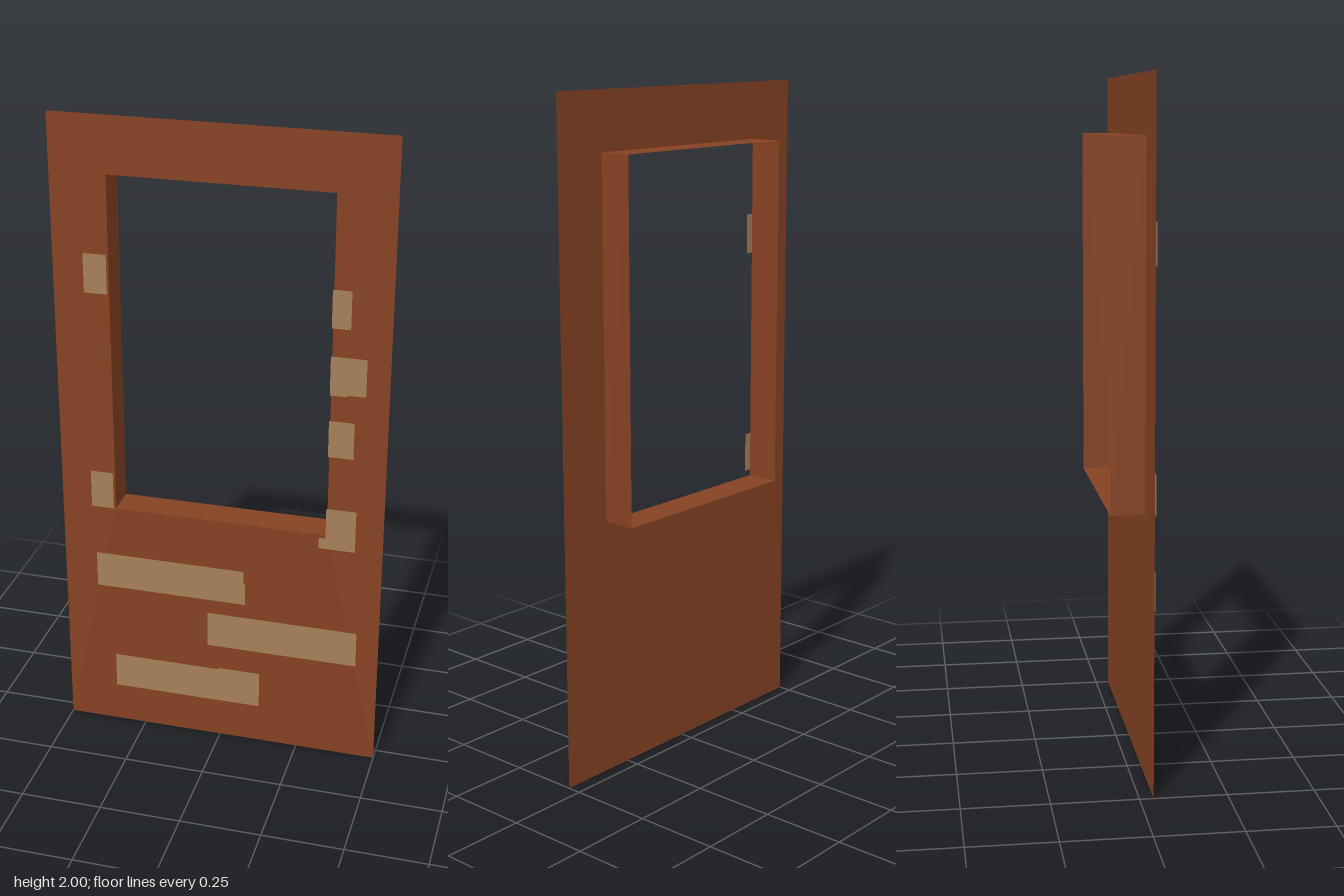
import * as THREE from 'three';

const PANEL_Z = 0.04, REVEAL_BACK = -0.06, PATCH_Z = 0.06;
const WIN = { x: 0.33, bottom: 0.775, top: 1.83 };

const wood = new THREE.MeshStandardMaterial({ color: 0x864223, side: THREE.DoubleSide });
wood.name = 'brown wood';
const worn = new THREE.MeshStandardMaterial({ color: 0xa67e5b, side: THREE.DoubleSide });
worn.name = 'worn tan wood';

const polygon = (points) => new THREE.Shape(points.map(([x, y]) => new THREE.Vector2(x, y)));
const rect = (x0, y0, x1, y1) => [[x0, y0], [x1, y0], [x1, y1], [x0, y1]];

function addMesh(parent, name, geometry, material) {
  const mesh = new THREE.Mesh(geometry, material);
  mesh.name = name;
  parent.add(mesh);
  return mesh;
}

export function createModel() {
  const door = new THREE.Group();
  door.name = 'door';

  // Thin door leaf with a window opening
  const leaf = polygon(rect(-0.5, 0, 0.5, 2));
  leaf.holes.push(polygon(rect(-WIN.x, WIN.bottom, WIN.x, WIN.top)));
  addMesh(door, 'doorPanel', new THREE.ShapeGeometry(leaf), wood).position.z = PANEL_Z;

  // Four thin boards lining the opening and projecting behind the leaf
  const reveal = new THREE.Group();
  reveal.name = 'windowReveal';
  door.add(reveal);
  const depth = PANEL_Z - REVEAL_BACK, midZ = (PANEL_Z + REVEAL_BACK) / 2;
  const height = WIN.top - WIN.bottom, midY = (WIN.top + WIN.bottom) / 2;
  for (const side of [-1, 1]) {
    const jamb = addMesh(reveal, side > 0 ? 'leftJamb' : 'rightJamb',
      new THREE.PlaneGeometry(depth, height), wood);
    jamb.rotation.y = side * Math.PI / 2;
    jamb.position.set(side * WIN.x, midY, midZ);

    const rail = addMesh(reveal, side > 0 ? 'windowHead' : 'windowSill',
      new THREE.PlaneGeometry(WIN.x * 2, depth), wood);
    rail.rotation.x = -side * Math.PI / 2;
    rail.position.set(0, side > 0 ? WIN.top : WIN.bottom, midZ);
  }

  // Worn patches standing just in front of the leaf
  const patches = [
    rect(-0.4, 1.48, -0.33, 1.6),
    rect(-0.4, 0.785, -0.33, 0.905),
    rect(0.33, 1.445, 0.385, 1.56),
    [[0.33, 1.24], [0.38, 1.24], [0.38, 1.245], [0.435, 1.245], [0.435, 1.36], [0.33, 1.36]],
    rect(0.33, 1.045, 0.405, 1.16),
    [[0.31, 0.74], [0.42, 0.74], [0.42, 0.875], [0.33, 0.875], [0.33, 0.775], [0.31, 0.775]],
    [[-0.39, 0.507], [0.085, 0.507], [0.085, 0.58], [0.08, 0.58], [0.08, 0.623], [-0.39, 0.623]],
    rect(-0.035, 0.343, 0.435, 0.46),
    [[-0.338, 0.142], [0.132, 0.142], [0.132, 0.263], [0, 0.263], [0, 0.258], [-0.338, 0.258]],
  ];
  patches.forEach((points, i) => {
    const patch = addMesh(door, `wornPatch${i + 1}`, new THREE.ShapeGeometry(polygon(points)), worn);
    patch.position.z = PATCH_Z;
  });

  return door;
}
